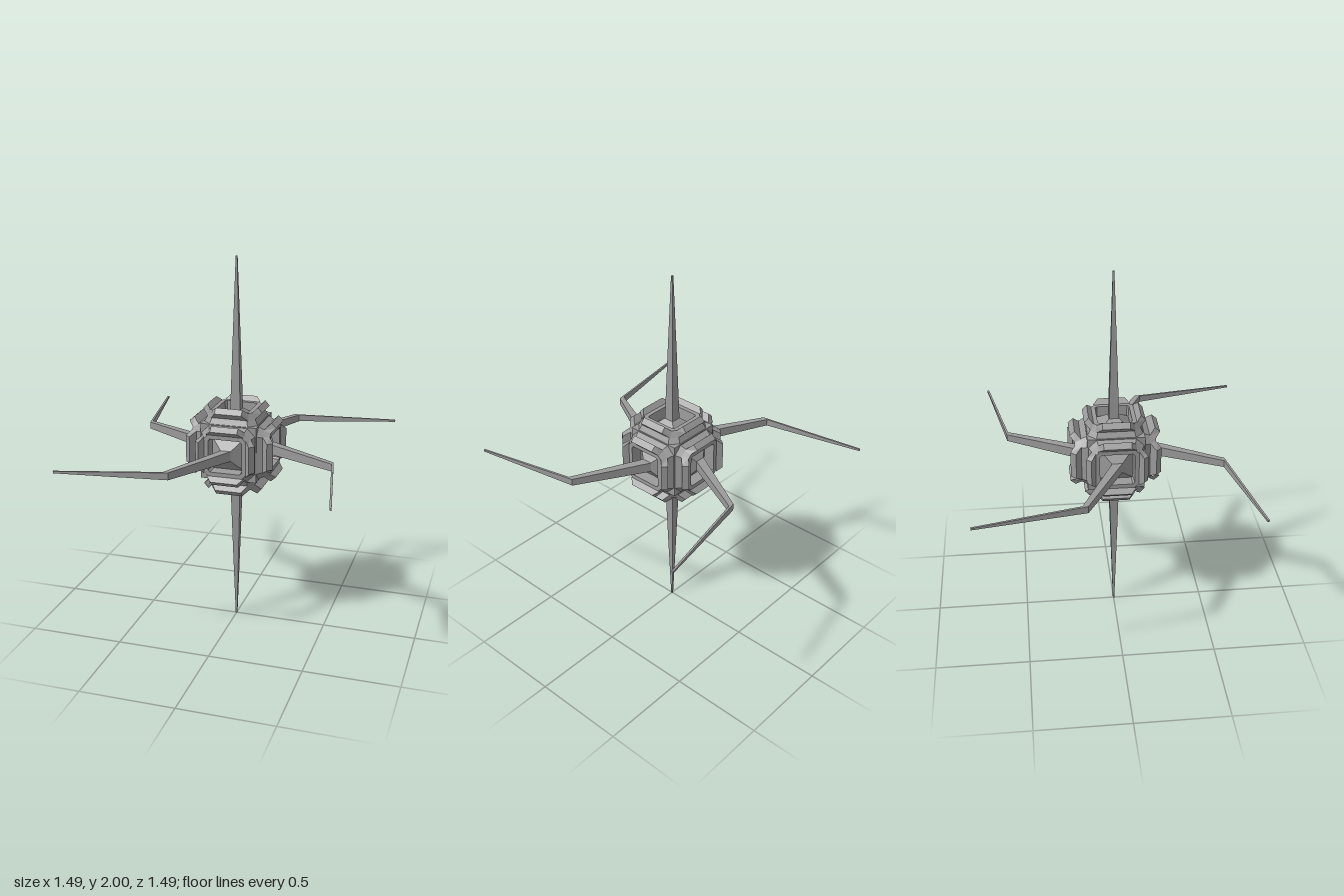
import * as THREE from 'three';

const material = new THREE.MeshStandardMaterial({ color: 0x9a9a9a, flatShading: true });

// Skin a stack of rings; each ring is a list of [x, y, z], counterclockwise from its outer end
function loft(rings, capped) {
  const n = rings[0].length;
  const index = [];
  for (let r = 0; r < rings.length - 1; r++) {
    for (let i = 0; i < n; i++) {
      const j = (i + 1) % n;
      const a = r * n + i, b = r * n + j, c = b + n, d = a + n;
      index.push(a, b, c, a, c, d);
    }
  }
  if (capped) {
    const s = (rings.length - 1) * n;
    for (let i = 1; i < n - 1; i++) index.push(s, s + i, s + i + 1);
  }
  const g = new THREE.BufferGeometry();
  g.setAttribute('position', new THREE.Float32BufferAttribute(rings.flat(2), 3));
  g.setIndex(index);
  const flat = g.toNonIndexed();
  flat.computeVertexNormals();
  return flat;
}

// Octagon with flats at distance u and flat half-length s
const octagon = (u, s, h) => [
  [u, h, s], [u, h, -s], [s, h, -u], [-s, h, -u],
  [-u, h, -s], [-u, h, s], [-s, h, u], [s, h, u],
];

// Four-sided ring at (x, h): half-width w, half-depth d, its +x edge dropped by t
const square = (x, h, w, d = w, t = 0) => [
  [x + w, h - t, d], [x + w, h - t, -d], [x - w, h + t, -d], [x - w, h + t, d],
];

// Ring of a flange: lower and upper edge as [u, h], half-length s
const flangeRing = ([u0, h0], [u1, h1], s) => [
  [u0, h0, s], [u0, h0, -s], [u1, h1, -s], [u1, h1, s],
];

function add(parent, name, geometry) {
  const mesh = new THREE.Mesh(geometry, material);
  mesh.name = name;
  parent.add(mesh);
  return mesh;
}

// Raised frame around a sunken middle
const frameGeometry = loft([
  octagon(0.15, 0.105, 0.14),
  octagon(0.13, 0.095, 0.178),
  octagon(0.115, 0.088, 0.212),
  octagon(0.09, 0.08, 0.212),
  octagon(0.086, 0.078, 0.15),
], false);

// Flange splaying diagonally outward from one edge of the frame
const flangeGeometry = loft([
  flangeRing([0.127, 0.177], [0.112, 0.212], 0.1),
  flangeRing([0.16, 0.21], [0.136, 0.237], 0.072),
], true);

// Straight spike and bent limb, both growing from a flared square foot
const spikeGeometry = loft([
  square(0, 0.15, 0.088), square(0, 0.2, 0.027),
  square(0, 0.56, 0.017), square(0, 1, 0.004),
], true);
const limbGeometry = loft([
  square(0, 0.15, 0.088), square(0, 0.195, 0.027),
  square(0.192, 0.56, 0.014, 0.019, 0.003), square(0.743, 0.668, 0.001, 0.005, 0.005),
], true);

// One side of the body, built facing +y
function createSide(name, bent) {
  const side = new THREE.Group();
  side.name = name;
  add(side, 'frame', frameGeometry);
  add(side, bent ? 'bentLimb' : 'spike', bent ? limbGeometry : spikeGeometry);
  for (let i = 0; i < 4; i++) {
    add(side, 'flange', flangeGeometry).rotation.y = i * Math.PI / 2;
  }
  return side;
}

export function createModel() {
  const model = new THREE.Group();
  model.name = 'spikedCore';
  const body = new THREE.Group();
  body.name = 'body';
  body.position.y = 1;
  model.add(body);

  add(body, 'core', new THREE.BoxGeometry(0.3, 0.3, 0.3));

  // Top and bottom carry straight spikes
  body.add(createSide('topSide', false));
  const bottom = createSide('bottomSide', false);
  bottom.rotation.x = Math.PI;
  body.add(bottom);

  // Four sides carry limbs that all bend the same way round
  ['backSide', 'rightSide', 'frontSide', 'leftSide'].forEach((name, i) => {
    const turn = new THREE.Group();
    turn.name = name + 'Mount';
    turn.rotation.y = i * Math.PI / 2;
    const side = createSide(name, true);
    side.rotation.x = -Math.PI / 2;
    turn.add(side);
    body.add(turn);
  });

  return model;
}
